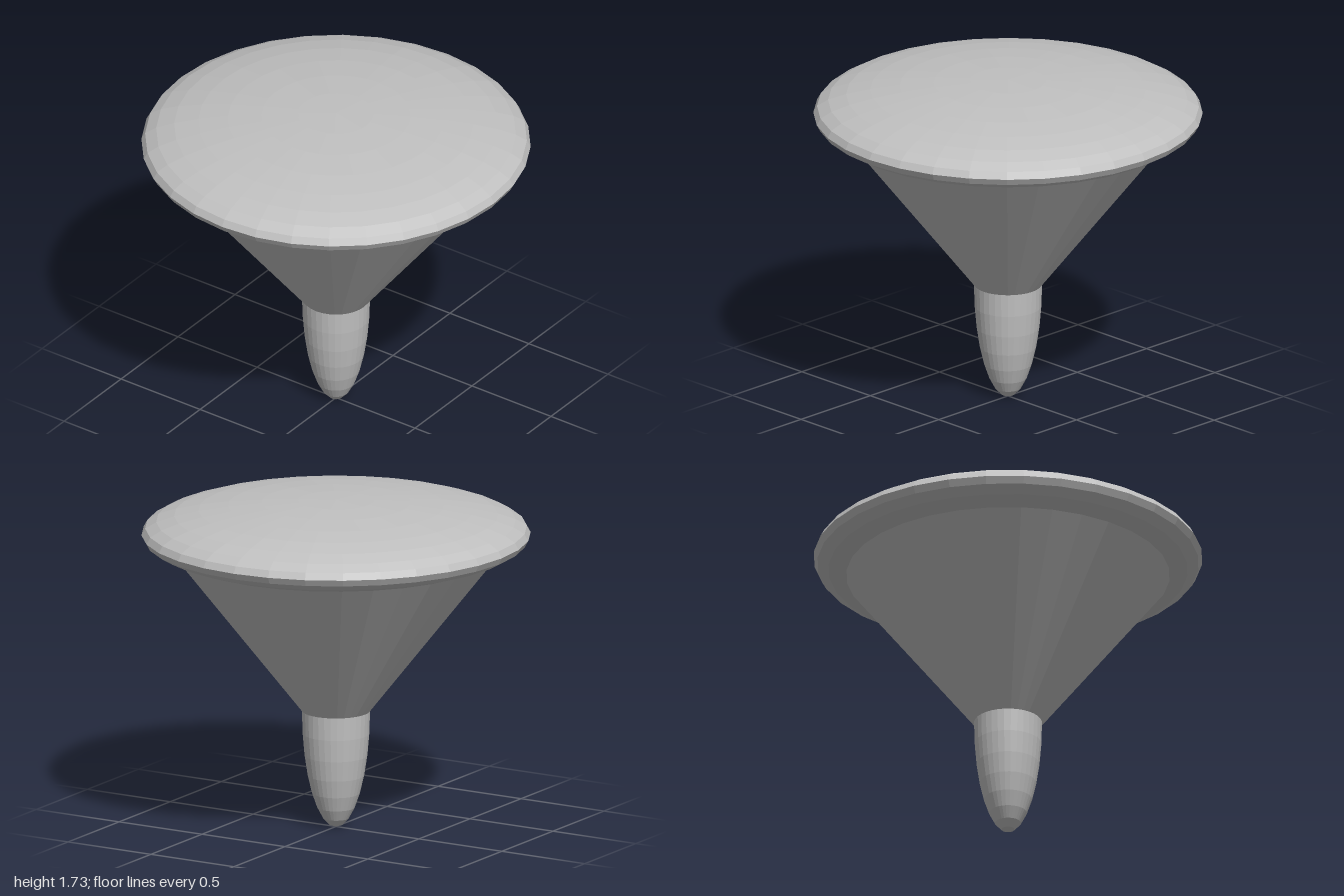
import * as THREE from 'three';

const SIDES = 32;
const STEP = Math.PI / 16;

// Profile points of an ellipse, from ring index a to b, counted up from the bottom pole
function arc(radius, halfHeight, centreY, a, b) {
  const points = [];
  for (let i = a; i <= b; i++) {
    const r = i === 0 || i === 16 ? 0 : radius * Math.sin(i * STEP);
    points.push(new THREE.Vector2(r, centreY - halfHeight * Math.cos(i * STEP)));
  }
  return points;
}

export function createModel() {
  const group = new THREE.Group();
  const grey = new THREE.MeshStandardMaterial({ color: 0xc0c0c0, flatShading: true });
  grey.name = 'light grey';

  const addLathe = (name, points) => {
    const mesh = new THREE.Mesh(new THREE.LatheGeometry(points, SIDES), grey);
    mesh.name = name;
    group.add(mesh);
  };

  // Rounded tip: lower half of a tall ellipsoid
  const tip = arc(0.175, 0.615, 0.615, 0, 8);
  // Flattened cap, starting where the cone meets its underside
  const cap = arc(1, 0.18, 1.55, 5, 16);

  addLathe('tip', tip);
  addLathe('cone', [tip[tip.length - 1], cap[0]]);
  addLathe('cap', cap);
  return group;
}
